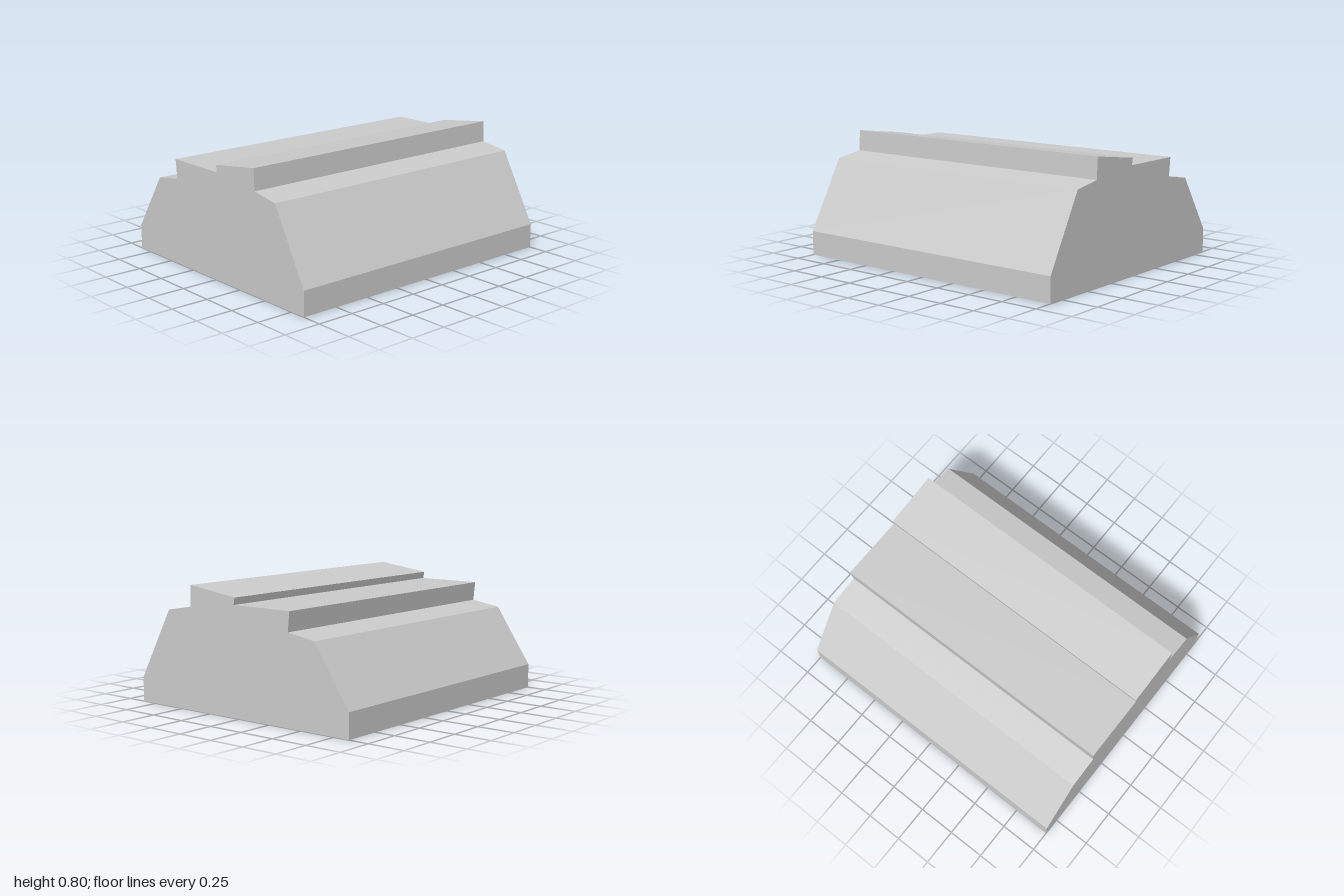
import * as THREE from 'three';

export function createModel() {
  const group = new THREE.Group();
  group.name = 'steppedBlock';

  // Cross-section, anticlockwise from the lower right corner
  const profile = [
    [-0.863, 0], [0.863, 0],
    [0.863, 0.163], [0.606, 0.63],   // steep side on +x
    [0.412, 0.662], [0.405, 0.802],  // shoulder and tall step
    [0.027, 0.751], [0.035, 0.705],  // tilted top slab with undercut lip
    [-0.415, 0.705], [-0.402, 0.578], // flat top and undercut step
    [-0.607, 0.545], [-0.863, 0.163], // shoulder and side on -x
  ].map(([x, y]) => new THREE.Vector2(x, y));

  // Straight body running the full depth
  const geometry = new THREE.ExtrudeGeometry(new THREE.Shape(profile), {
    depth: 2, bevelEnabled: false,
  });
  geometry.translate(0, 0, -1);

  const material = new THREE.MeshStandardMaterial({ color: 0xcccccc, flatShading: true });
  const body = new THREE.Mesh(geometry, material);
  body.name = 'body';
  group.add(body);
  return group;
}
